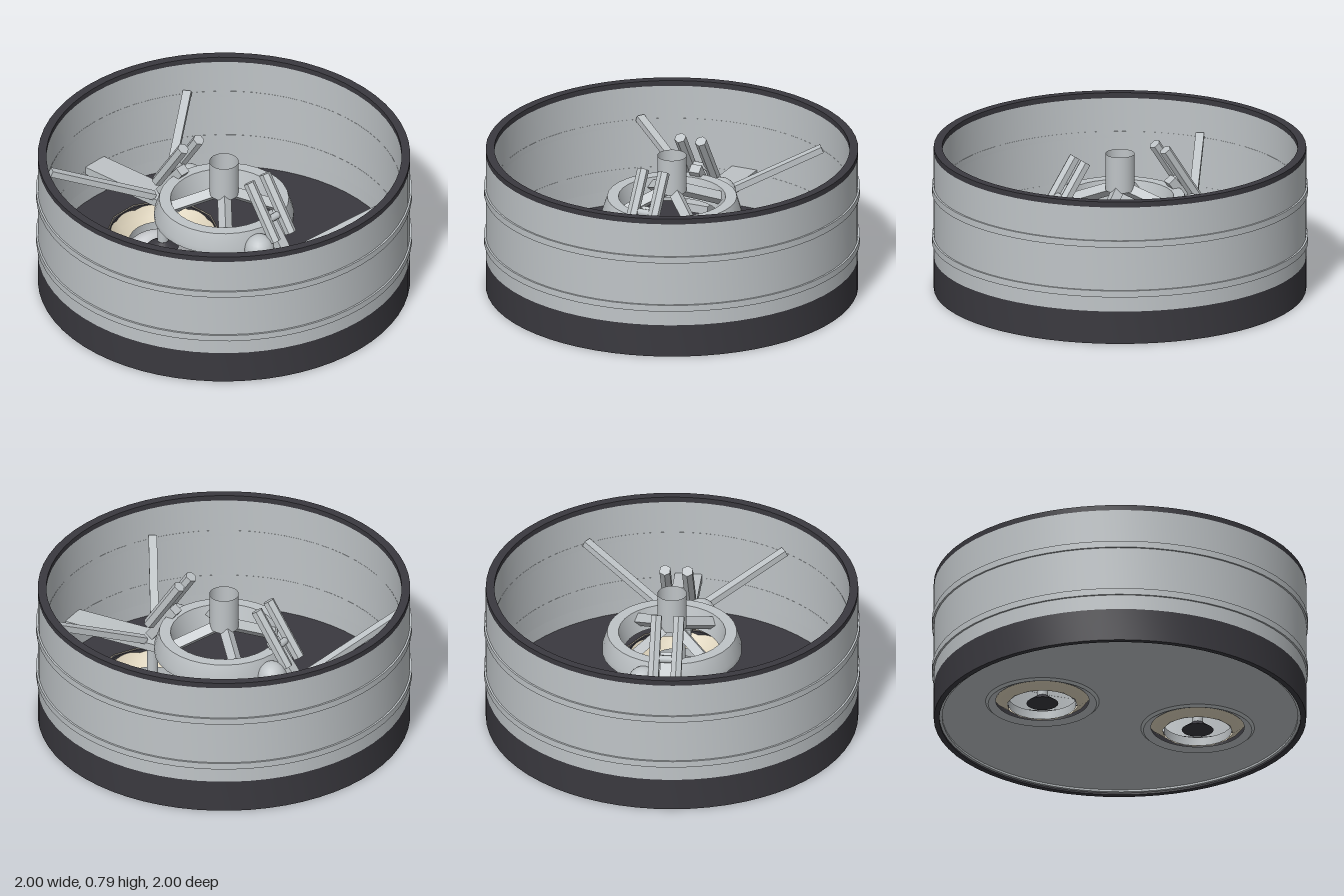
import * as THREE from 'three';
import { toCreasedNormals } from 'three/addons/utils/BufferGeometryUtils.js';

const mat = (name, color, side = THREE.FrontSide) => {
  const m = new THREE.MeshStandardMaterial({ color, side });
  m.name = name;
  return m;
};

export function createModel() {
  const model = new THREE.Group();
  const grey = mat('metal grey', 0xbfc4c7, THREE.DoubleSide);
  const dark = mat('charcoal', 0x3a393f);
  const tan = mat('nozzle tan', 0xdbd1ba, THREE.DoubleSide);

  const add = (parent, name, geometry, material, x = 0, y = 0, z = 0) => {
    const mesh = new THREE.Mesh(geometry, material);
    mesh.name = name;
    mesh.position.set(x, y, z);
    parent.add(mesh);
    return mesh;
  };
  const lathe = (pts, segments = 64) =>
    toCreasedNormals(new THREE.LatheGeometry(pts.map(p => new THREE.Vector2(...p)), segments), 0.55);
  // Closed ring of rectangular section
  const band = (r0, r1, y0, y1) => lathe([[r0, y0], [r1, y0], [r1, y1], [r0, y1], [r0, y0]]);
  // Grey part running from a to b; its geometry is made along z for the given length
  const span = (parent, name, a, b, make) => {
    const from = new THREE.Vector3(...a), to = new THREE.Vector3(...b);
    const mesh = add(parent, name, make(from.distanceTo(to)), grey);
    mesh.position.copy(from).add(to).multiplyScalar(0.5);
    mesh.quaternion.setFromRotationMatrix(new THREE.Matrix4().lookAt(to, from, new THREE.Vector3(0, 1, 0)));
    return mesh;
  };
  const bar = (width, depth) => length => new THREE.BoxGeometry(width, depth, length);
  const hexRod = radius => length =>
    toCreasedNormals(new THREE.CylinderGeometry(radius, radius, length, 6).rotateX(Math.PI / 2), 0.5);

  // Drum wall, grey on the whole inside
  add(model, 'lowerBand', band(0.96, 0.99, 0, 0.18), dark);
  add(model, 'innerLining', band(0.945, 0.96, 0.01, 0.18), grey);
  add(model, 'drumWall', band(0.945, 0.99, 0.18, 0.76), grey);
  add(model, 'topRim', band(0.945, 0.99, 0.76, 0.79), dark);
  for (const y of [0.28, 0.557]) add(model, 'hoop', band(0.944, 1, y - 0.018, y + 0.018), grey);

  // Floor slab and underside plate, both pierced by the two nozzles
  const disc = (hole, depth) => {
    const shape = new THREE.Shape().absarc(0, 0, 0.95, 0, Math.PI * 2);
    for (const s of [-1, 1])
      shape.holes.push(new THREE.Path().absarc(s * 0.445, 0, hole, 0, Math.PI * 2, true));
    return new THREE.ExtrudeGeometry(shape, { depth, bevelEnabled: false, curveSegments: 32 })
      .rotateX(-Math.PI / 2);
  };
  add(model, 'floor', disc(0.28, 0.07), dark, 0, 0.03, 0);
  add(model, 'undersidePlate', disc(0.28, 0.009), grey, 0, 0.021, 0);

  // Half of the machinery; the second half is turned about the vertical axis
  for (const turn of [0, Math.PI]) {
    const half = new THREE.Group();
    half.name = 'engineSide';
    half.rotation.y = turn;
    model.add(half);

    // Bowl-shaped nozzle narrowing downwards, with throat, lip and plug
    const nozzle = new THREE.Group();
    nozzle.name = 'nozzleAssembly';
    nozzle.position.x = 0.445;
    half.add(nozzle);
    const bowl = add(nozzle, 'nozzle', lathe([[0.188, 0], [0.252, 0.045], [0.298, 0.104]], 12), tan);
    bowl.rotation.y = Math.PI / 12;
    add(nozzle, 'nozzleThroat', lathe([[0.181, 0.001], [0.181, 0.05]], 24), grey);
    add(nozzle, 'nozzleLip', lathe([[0.248, 0.026], [0.288, 0.008], [0.303, 0.022]]), grey);
    add(nozzle, 'plugStem', new THREE.CylinderGeometry(0.03, 0.03, 0.27, 12), grey, 0, 0.175, 0);
    add(nozzle, 'plugCone', new THREE.CylinderGeometry(0.03, 0.085, 0.04, 20), dark, 0, 0.03, 0);

    // Main beam and diagonal struts reaching the wall
    span(half, 'mainBeam', [0.3, 0.33, 0], [0.942, 0.3, 0], bar(0.145, 0.045));
    for (const s of [-1, 1])
      span(half, 'wallStrut', [0.46, 0.35, s * 0.05], [0.765, 0.59, s * 0.53], bar(0.045, 0.035));

    // Sloping pair of hexagonal bracket rods with a pin and link
    for (const s of [-1, 1])
      span(half, 'bracketRod', [0.24, 0.75, s * 0.06], [0.43, 0.46, s * 0.06], hexRod(0.032));
    span(half, 'bracketLink', [0.3, 0.56, 0], [0.45, 0.36, 0], bar(0.06, 0.05));
    const pin = add(half, 'bracketPin', new THREE.CylinderGeometry(0.02, 0.02, 0.14, 10), grey, 0.36, 0.555, 0);
    pin.rotation.x = Math.PI / 2;

    // Small spherical tank
    add(half, 'tank', new THREE.SphereGeometry(0.08, 20, 14), grey, 0.37, 0.42, 0.12);
  }

  // Central ring, wider at its foot
  add(model, 'centreRing', lathe([[0.255, 0.4], [0.372, 0.4], [0.372, 0.43], [0.345, 0.515],
    [0.285, 0.515], [0.255, 0.4]], 32), grey);

  // Spokes and open post
  for (let i = 0; i < 4; i++) {
    const a = Math.PI / 4 + i * Math.PI / 2;
    const spoke = span(model, 'spoke', [0, 0.57, 0],
      [Math.cos(a) * 0.29, 0.46, Math.sin(a) * 0.29], bar(0.052, 0.052));
    spoke.rotateZ(Math.PI / 4);
  }
  add(model, 'centrePost', new THREE.CylinderGeometry(0.078, 0.078, 0.2, 24, 1, true), grey, 0, 0.65, 0);

  return model;
}
